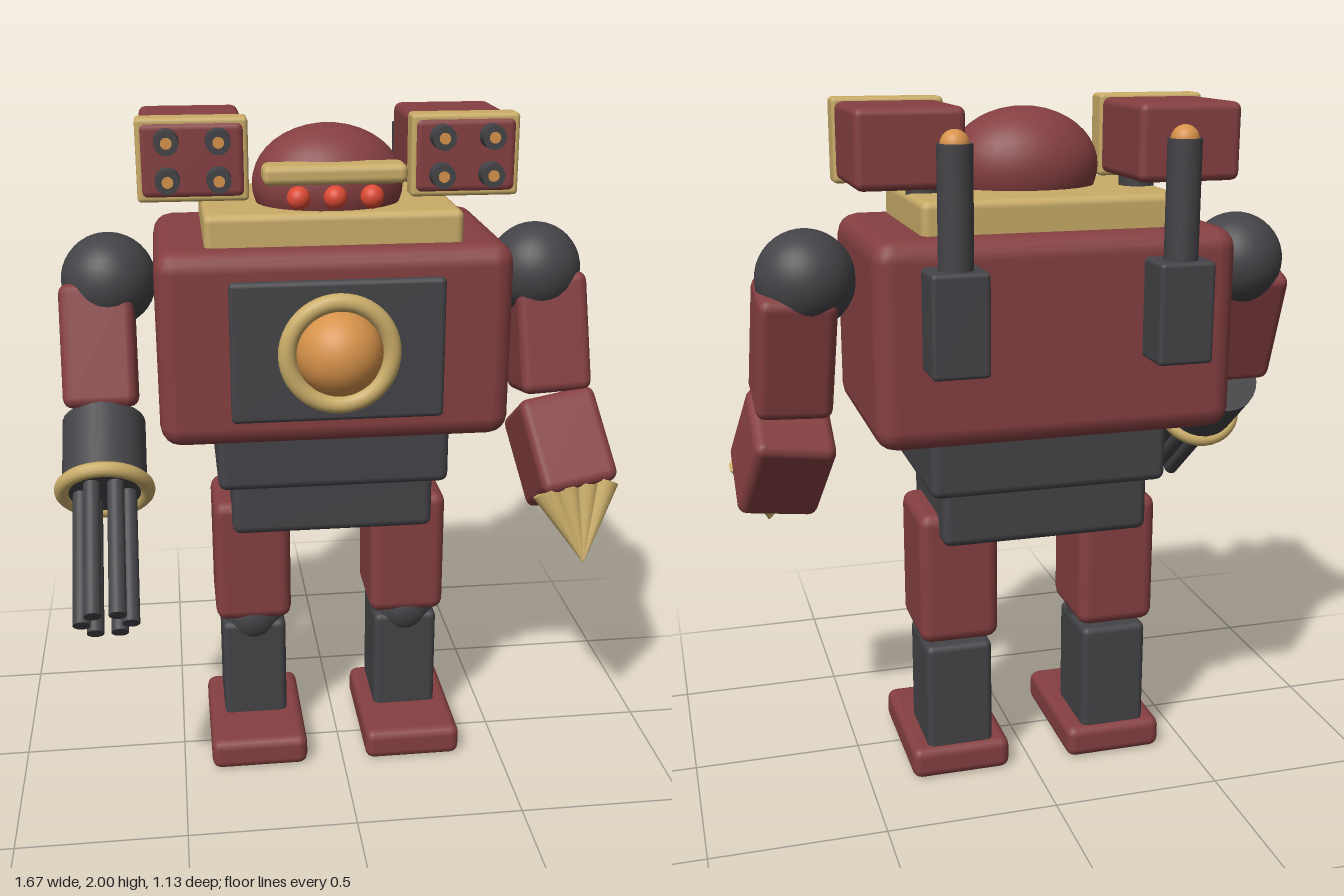
import * as THREE from 'three';
import { RoundedBoxGeometry } from 'three/addons/geometries/RoundedBoxGeometry.js';

const mat = (name, color) => {
  const m = new THREE.MeshStandardMaterial({ color });
  m.name = name;
  return m;
};

export function createModel() {
  const red = mat('maroon armour', 0x853f41);
  const gold = mat('brass trim', 0xc9ac68);
  const dark = mat('dark steel', 0x444448);
  const orange = mat('amber glow', 0xd6924a);
  const eyeRed = mat('eye red', 0xdc4a34);

  const model = new THREE.Group();
  model.name = 'robot';
  // everything but the arms mirrors about this line
  const CX = -0.021;

  const add = (name, geo, material, x, y, z, parent = model) => {
    const m = new THREE.Mesh(geo, material);
    m.name = name;
    m.position.set(x, y, z);
    parent.add(m);
    return m;
  };
  const box = (name, material, w, h, d, r, x, y, z, parent) =>
    add(name, new RoundedBoxGeometry(w, h, d, 2, r), material, x, y, z, parent);
  const ball = (name, material, r, x, y, z, parent) =>
    add(name, new THREE.SphereGeometry(r, 32, 20), material, x, y, z, parent);
  // cylinder or cone running from a to b
  const rod = (name, material, a, b, ra, rb, sides = 20) => {
    const d = b.clone().sub(a);
    const p = a.clone().add(b).multiplyScalar(0.5);
    const m = add(name, new THREE.CylinderGeometry(rb, ra, d.length(), sides), material, p.x, p.y, p.z);
    m.quaternion.setFromUnitVectors(new THREE.Vector3(0, 1, 0), d.normalize());
    return m;
  };
  const v = (x, y, z) => new THREE.Vector3(x, y, z);

  // Torso, waist and collar
  box('torso', red, 1.015, 0.57, 0.645, 0.06, CX, 1.377, -0.123);
  box('waist', dark, 0.69, 0.22, 0.48, 0.025, CX, 1.035, -0.12);
  box('pelvis', dark, 0.61, 0.19, 0.4, 0.025, CX, 0.86, -0.12);
  box('collar', gold, 0.73, 0.11, 0.52, 0.022, CX, 1.697, -0.12);

  // Chest panel with glowing core
  box('chestPanel', dark, 0.61, 0.41, 0.06, 0.015, CX, 1.375, 0.187);
  add('coreRing', new THREE.TorusGeometry(0.148, 0.026, 14, 48), gold, CX, 1.377, 0.24);
  ball('core', orange, 0.125, CX, 1.377, 0.22);

  // Head, visor and eyes
  ball('head', red, 1, CX, 1.805, -0.055).scale.set(0.218, 0.167, 0.175);
  box('visor', gold, 0.4, 0.055, 0.1, 0.02, CX, 1.858, 0.108);
  for (const i of [-1, 0, 1]) ball('eye', eyeRed, 0.033, CX + i * 0.102, 1.795, 0.138);

  for (const s of [-1, 1]) {
    // Shoulder launcher
    const lx = CX + s * 0.386;
    box('launcherBody', red, 0.295, 0.212, 0.395, 0.022, lx, 1.885, -0.168);
    box('launcherFrame', gold, 0.312, 0.232, 0.08, 0.012, lx, 1.885, -0.018);
    add('launcherPost', new THREE.CylinderGeometry(0.05, 0.05, 0.14, 20), dark, CX + s * 0.31, 1.75, -0.15);
    for (const dx of [-0.071, 0.071]) for (const dy of [-0.053, 0.053]) {
      rod('launchTube', dark, v(lx + dx, 1.887 + dy, 0), v(lx + dx, 1.887 + dy, 0.076), 0.036, 0.034);
      rod('launchTip', orange, v(lx + dx, 1.887 + dy, 0.074), v(lx + dx, 1.887 + dy, 0.079), 0.016, 0.016);
    }

    // Exhaust stack on the back
    const ex = CX + s * 0.306;
    box('exhaustBox', dark, 0.155, 0.275, 0.14, 0.012, ex, 1.457, -0.499);
    add('exhaustPipe', new THREE.CylinderGeometry(0.046, 0.046, 0.34, 24), dark, ex, 1.74, -0.508);
    ball('exhaustLight', orange, 0.038, ex, 1.907, -0.508);

    // Leg
    const gx = CX + s * 0.243;
    box('thigh', red, 0.236, 0.402, 0.277, 0.035, gx, 0.642, -0.119);
    ball('knee', dark, 0.1, gx, 0.435, -0.08);
    box('shin', dark, 0.2, 0.34, 0.24, 0.02, gx, 0.255, -0.12);
    box('foot', red, 0.3, 0.098, 0.44, 0.028, gx, 0.053, -0.04);

    ball('shoulder', dark, 0.139, CX + s * 0.64, 1.52, -0.122);
  }

  // Left arm, ending in a claw
  box('leftUpperArm', red, 0.218, 0.36, 0.225, 0.03, 0.66, 1.325, -0.095).rotation.set(-0.21, 0, 0.05);
  box('leftForearm', red, 0.24, 0.3, 0.255, 0.03, 0.69, 0.985, 0.022).rotation.set(-0.58, 0, 0.18);
  const tip = v(0.717, 0.7, 0.25);
  for (let i = 0; i < 4; i++)
    rod('clawSpike', gold, v(0.615 + i * 0.06, 0.9 + i * 0.007, 0.165 - i * 0.004), tip, 0.045, 0.002, 12);

  // Right arm, ending in a rotary gun
  box('rightUpperArm', red, 0.215, 0.36, 0.215, 0.03, -0.697, 1.335, -0.06).rotation.set(-0.33, 0, 0);
  const gun = new THREE.Group();
  gun.name = 'rotaryGun';
  gun.position.set(-0.694, 0.98, 0.19);
  gun.rotation.x = 0.68; // local +z runs forward and down
  model.add(gun);
  const along = (name, material, r, z0, z1, x, y) => {
    const g = new THREE.CylinderGeometry(r, r, z1 - z0, 28).rotateX(Math.PI / 2);
    add(name, g, material, x, y, (z0 + z1) / 2, gun);
  };
  along('gunHousing', dark, 0.121, -0.225, 0.01, 0, 0);
  add('gunRing', new THREE.TorusGeometry(0.122, 0.022, 12, 40), gold, 0, 0, 0, gun);
  for (let i = 0; i < 6; i++) {
    const a = i * Math.PI / 3;
    along('gunBarrel', dark, 0.024, 0, 0.417, Math.cos(a) * 0.067, Math.sin(a) * 0.067);
  }

  return model;
}
